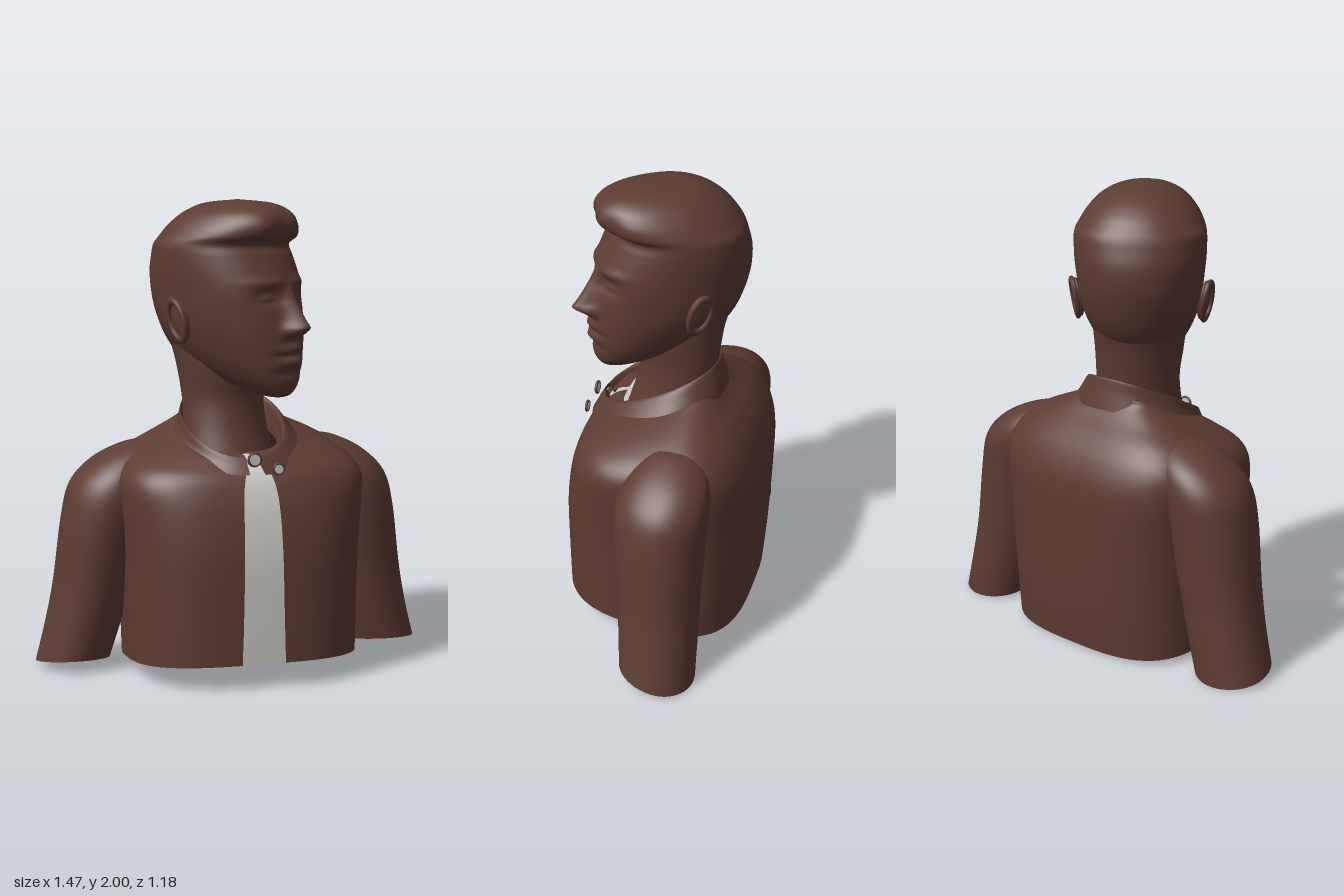
import * as THREE from 'three';
import { mergeVertices } from 'three/addons/utils/BufferGeometryUtils.js';

const brown = new THREE.MeshStandardMaterial({ color: 0x5c3c32, side: THREE.DoubleSide });
brown.name = 'dark brown';
const white = new THREE.MeshStandardMaterial({ color: 0xcacac6, side: THREE.DoubleSide });
white.name = 'shirt white';

const TURN = Math.PI * 2;
const bend = (v, e) => Math.sign(v) * Math.abs(v) ** e;
const bump = (x, sx, y, sy) => Math.exp(-((x / sx) ** 2) - (y / sy) ** 2);

// Lofts rounded rings; each row is [yFront, yBack, centreX, halfWidth, zFront, zBack].
// Angles run from the front towards +x; range(v) may leave a slit open.
function loft(rows, { cols = 64, sub = 6, e = 1, inset = 0, range = () => [0, TURN], warp } = {}) {
  const spline = new THREE.CubicInterpolant(rows.map((r, i) => i), rows.flat(), 6);
  const steps = (rows.length - 1) * sub, pos = [], index = [];
  for (let i = 0; i <= steps; i++) {
    const [yf, yb, cx, w, zf, zb] = [...spline.evaluate(i / sub)];
    const hw = Math.max(0, w - inset), f = zf - inset, b = zb + inset;
    const mid = b + (f - b) * 0.45;
    const [t0, t1] = range(i / steps);
    for (let j = 0; j <= cols; j++) {
      const t = t0 + (t1 - t0) * j / cols;
      const c = bend(Math.cos(t), e);
      const x = hw * bend(Math.sin(t), e);
      let z = mid + c * (c > 0 ? f - mid : mid - b);
      const k = f - b > 1e-4 ? (z - b) / (f - b) : 0.5;
      const y = yb + (yf - yb) * k - inset * 0.5;
      if (warp && c > 0) z += warp(x, y) * Math.min(1, c * 2);
      pos.push(cx + x, y, z);
      if (i < steps && j < cols) {
        const a = i * (cols + 1) + j, d = a + cols + 1;
        index.push(a, a + 1, d + 1, a, d + 1, d);
      }
    }
  }
  let geo = new THREE.BufferGeometry();
  geo.setAttribute('position', new THREE.Float32BufferAttribute(pos, 3));
  geo.setIndex(index);
  geo = mergeVertices(geo, 1e-5);
  geo.computeVertexNormals();
  return geo;
}

function add(parent, name, geo, mat = brown) {
  const m = new THREE.Mesh(geo, mat);
  m.name = name;
  parent.add(m);
  return m;
}

// Facial relief: nose, sockets, lids, brows, lips and a wavy hairline
function face(x, y) {
  const ax = Math.abs(x);
  const noseH = y > 1.485
    ? 0.095 * Math.max(0, 1 - (y - 1.485) / 0.17) ** 1.2
    : 0.095 * Math.exp(-(((y - 1.485) / 0.032) ** 2));
  const noseW = THREE.MathUtils.clamp(0.045 - (y - 1.48) * 0.13, 0.026, 0.045);
  return noseH * Math.exp(-((x / noseW) ** 2))
    + 0.025 * bump(ax - 0.042, 0.02, y - 1.465, 0.025)
    - 0.038 * bump(ax - 0.095, 0.055, y - 1.605, 0.035)
    + 0.022 * bump(ax - 0.1, 0.035, y - 1.6, 0.022)
    - 0.008 * bump(ax - 0.1, 0.04, y - 1.585, 0.008)
    + 0.012 * bump(ax - 0.1, 0.07, y - 1.665, 0.02)
    + 0.022 * bump(x, 0.06, y - 1.395, 0.02)
    + 0.02 * bump(x, 0.055, y - 1.34, 0.02)
    - 0.014 * bump(x, 0.08, y - 1.368, 0.008)
    - 0.012 * bump(x, 0.08, y - 1.295, 0.02)
    + 0.008 * Math.sin(x * 38) * bump(x, 0.2, y - 1.89, 0.05);
}

export function createModel() {
  const model = new THREE.Group();
  model.name = 'bust';

  // Head with swept-up hair
  const hx = -0.128;
  add(model, 'head', loft([
    [1.19, 1.29, hx, 0.0, 0.22, 0.1],
    [1.19, 1.30, hx, 0.10, 0.36, -0.05],
    [1.22, 1.33, hx, 0.145, 0.405, -0.13],
    [1.28, 1.38, hx, 0.187, 0.42, -0.185],
    [1.36, 1.43, hx, 0.22, 0.42, -0.215],
    [1.45, 1.48, hx, 0.245, 0.415, -0.235],
    [1.54, 1.55, hx, 0.262, 0.405, -0.258],
    [1.62, 1.62, hx, 0.27, 0.40, -0.272],
    [1.70, 1.70, hx, 0.278, 0.37, -0.272],
    [1.77, 1.77, hx, 0.28, 0.335, -0.255],
    [1.815, 1.815, hx, 0.277, 0.315, -0.24],
    [1.85, 1.85, hx, 0.262, 0.37, -0.22],
    [1.90, 1.90, hx, 0.23, 0.388, -0.18],
    [1.95, 1.95, hx, 0.18, 0.36, -0.115],
    [1.985, 1.985, hx, 0.105, 0.28, -0.03],
    [2.0, 2.0, hx, 0.0, 0.12, 0.12],
  ], { cols: 128, sub: 8, e: 0.92, warp: face }));

  // Neck
  add(model, 'neck', loft([
    [0.90, 1.00, -0.13, 0.20, 0.27, -0.11],
    [1.04, 1.08, -0.125, 0.185, 0.225, -0.12],
    [1.17, 1.18, -0.12, 0.18, 0.205, -0.135],
    [1.27, 1.32, -0.125, 0.19, 0.22, -0.16],
    [1.36, 1.42, -0.128, 0.2, 0.22, -0.19],
  ]));

  // Ears: flattened shell with a raised rim
  for (const s of [-1, 1]) {
    const ear = new THREE.Group();
    ear.name = s > 0 ? 'leftEar' : 'rightEar';
    add(ear, 'earShell', new THREE.SphereGeometry(1, 20, 14)).scale.set(0.02, 0.09, 0.058);
    const rim = add(ear, 'earRim', new THREE.TorusGeometry(0.055, 0.012, 8, 28));
    rim.rotation.y = Math.PI / 2;
    rim.scale.set(0.98, 1.5, 1);
    rim.position.x = s * 0.015;
    ear.position.set(hx + s * 0.27, 1.51, 0.04);
    ear.rotation.set(-0.2, s * 0.3, -s * 0.12);
    model.add(ear);
  }

  // Clothed upper body, turned towards the model's right
  const body = new THREE.Group();
  body.name = 'body';
  body.rotation.y = -35 * Math.PI / 180;
  model.add(body);

  const cx = -0.022;
  const torso = [
    [0.11, 0.01, cx, 0.49, 0.55, -0.27],
    [0.30, 0.25, cx, 0.495, 0.55, -0.29],
    [0.55, 0.55, cx, 0.505, 0.545, -0.305],
    [0.72, 0.75, cx, 0.525, 0.52, -0.305],
    [0.82, 0.87, cx, 0.53, 0.49, -0.27],
    [0.88, 0.96, cx, 0.48, 0.46, -0.21],
    [0.92, 1.03, cx, 0.38, 0.42, -0.14],
    [0.95, 1.09, -0.04, 0.26, 0.38, -0.09],
    [0.96, 1.12, -0.06, 0.20, 0.33, -0.08],
  ];
  const slit = (a, b) => (v) => {
    const g = a + (b - a) * v;
    return [g, TURN - g];
  };
  add(body, 'jacket', loft(torso, { cols: 96, e: 0.66, range: slit(0.08, 0.012) }));

  // Shirt front behind the jacket opening
  add(body, 'shirt', loft(torso, { cols: 24, e: 0.66, inset: 0.018, range: () => [-0.39, 0.39] }), white);

  // Folded collar: outer fall, top edge, inner stand
  add(body, 'collar', loft([
    [0.885, 1.06, -0.03, 0.29, 0.475, -0.125],
    [0.92, 1.14, -0.04, 0.245, 0.455, -0.105],
    [0.955, 1.195, -0.055, 0.215, 0.43, -0.09],
    [0.93, 1.12, -0.055, 0.20, 0.415, -0.075],
    [0.90, 1.05, -0.055, 0.195, 0.40, -0.07],
  ], { e: 0.95, range: slit(0.1, 0.1) }));

  // Collar buttons
  for (const [x, y, z, r] of [[-0.043, 0.95, 0.47, 0.026], [0.055, 0.91, 0.485, 0.022]]) {
    const button = new THREE.Group();
    button.name = 'collarButton';
    add(button, 'buttonRing', new THREE.TorusGeometry(r, 0.006, 6, 12));
    add(button, 'buttonFace', new THREE.CylinderGeometry(r, r, 0.009, 10), white).rotation.x = Math.PI / 2;
    button.position.set(x, y, z);
    body.add(button);
  }

  // Sleeves, open at the cuff
  for (const s of [-1, 1]) {
    add(body, s > 0 ? 'leftSleeve' : 'rightSleeve', loft([
      [0.06, 0.0, 0.70, 0.16, 0.15, -0.18],
      [0.22, 0.20, 0.65, 0.165, 0.165, -0.18],
      [0.40, 0.38, 0.61, 0.17, 0.18, -0.18],
      [0.65, 0.65, 0.56, 0.185, 0.205, -0.19],
      [0.80, 0.80, 0.52, 0.185, 0.20, -0.195],
      [0.90, 0.90, 0.46, 0.15, 0.155, -0.165],
      [0.965, 0.965, 0.40, 0.08, 0.08, -0.09],
      [0.985, 0.985, 0.37, 0.0, 0.0, 0.0],
    ].map(([a, b, c, ...rest]) => [a, b, cx + s * c, ...rest]), { cols: 48 }));
  }
  return model;
}
